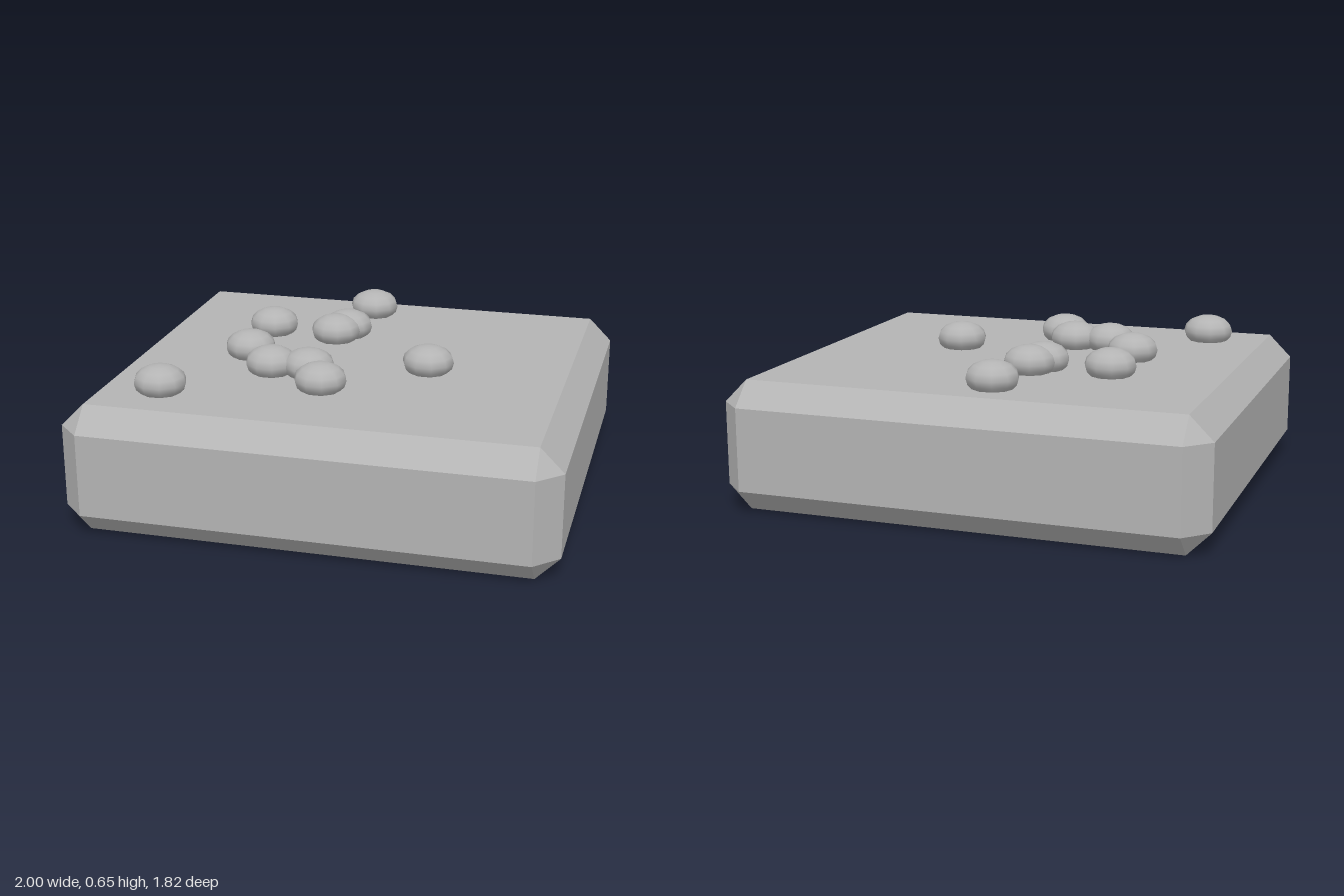
import * as THREE from 'three';
import { ConvexGeometry } from 'three/addons/geometries/ConvexGeometry.js';

// Box with every edge cut at 45 degrees and every corner cut to a triangle
function chamferedBox(w, h, d, c) {
  const points = [];
  for (const sx of [-1, 1]) for (const sy of [-1, 1]) for (const sz of [-1, 1]) {
    for (const axis of ['x', 'y', 'z']) {
      const p = new THREE.Vector3(w / 2 - c, h / 2 - c, d / 2 - c);
      p[axis] += c;
      points.push(p.multiply(new THREE.Vector3(sx, sy, sz)));
    }
  }
  return new ConvexGeometry(points);
}

export function createModel() {
  const model = new THREE.Group();
  model.name = 'pebbledSlab';
  const stone = new THREE.MeshStandardMaterial({ color: 0xb4b4b4 });
  stone.name = 'stone grey';

  // Slab with bevelled edges
  const height = 0.537;
  const slab = new THREE.Mesh(chamferedBox(2, height, 1.82, 0.097), stone);
  slab.name = 'slab';
  slab.position.y = height / 2;
  model.add(slab);

  // Flattened pebbles half sunk in the top, placed by x and z
  const pebbles = new THREE.Group();
  pebbles.name = 'pebbles';
  const pebbleGeometry = new THREE.SphereGeometry(1, 10, 8).scale(0.109, 0.07, 0.105);
  const spots = [
    [-0.08, -0.64], [-0.12, -0.31], [-0.155, -0.23], [-0.45, -0.265], [-0.45, 0.075],
    [0.33, 0.09], [-0.3, 0.26], [-0.14, 0.255], [-0.045, 0.415], [-0.66, 0.6],
  ];
  spots.forEach(([x, z], i) => {
    const pebble = new THREE.Mesh(pebbleGeometry, stone);
    pebble.name = `pebble${i + 1}`;
    pebble.position.set(x, 0.581, z);
    pebbles.add(pebble);
  });
  model.add(pebbles);
  return model;
}
